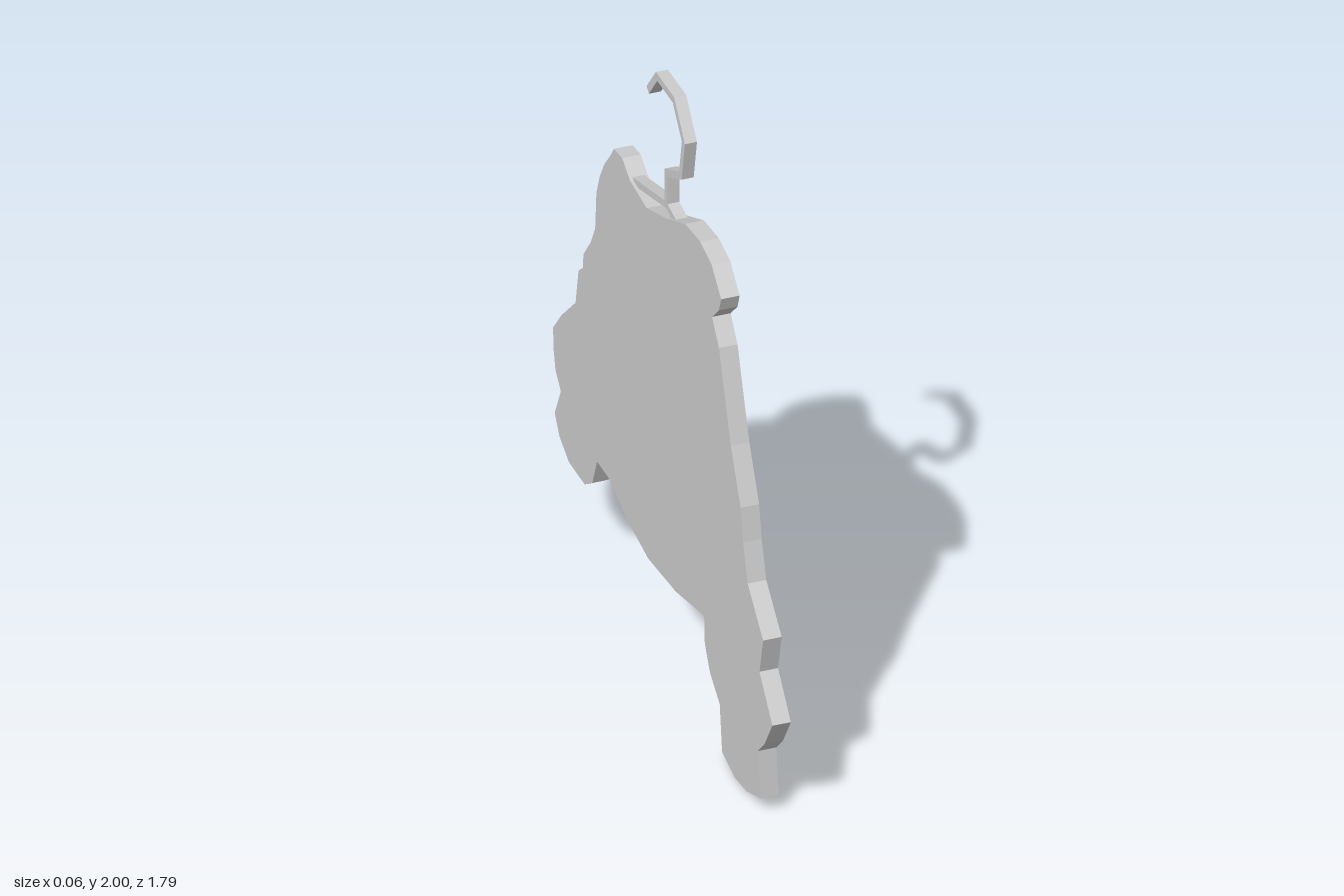
import * as THREE from 'three';

const material = new THREE.MeshStandardMaterial({ color: 0xcccccc, flatShading: true });

// Extrude a (z, y) outline symmetrically across x
function slab(name, points, thickness) {
  const shape = new THREE.Shape(points.map(([z, y]) => new THREE.Vector2(z, y)));
  const geometry = new THREE.ExtrudeGeometry(shape, { depth: thickness, bevelEnabled: false });
  geometry.translate(0, 0, -thickness / 2);
  geometry.rotateY(-Math.PI / 2);
  const mesh = new THREE.Mesh(geometry, material);
  mesh.name = name;
  return mesh;
}

// Turn an open path into a strip outline with mitred corners
function strip(path, width) {
  const pts = path.map(([z, y]) => new THREE.Vector2(z, y));
  const left = [], right = [];
  pts.forEach((p, i) => {
    const a = p.clone().sub(pts[Math.max(i - 1, 0)]).normalize();
    const b = pts[Math.min(i + 1, pts.length - 1)].clone().sub(p).normalize();
    const dir = a.clone().add(b).normalize();
    const ref = i === 0 ? b : a;
    const offset = width / 2 / dir.dot(ref);
    left.push([p.x - dir.y * offset, p.y + dir.x * offset]);
    right.unshift([p.x + dir.y * offset, p.y - dir.x * offset]);
  });
  return [...left, ...right];
}

export function createModel() {
  const group = new THREE.Group();
  group.name = 'garmentOnHanger';

  // Garment silhouette: collar, back sleeve, hem, front sleeve
  const collar = [
    [0.477, 1.557], [0.4, 1.63], [0.307, 1.653], [0.185, 1.642], [0.037, 1.573],
    [-0.13, 1.512], [-0.265, 1.525], [-0.33, 1.565], [-0.397, 1.557], [-0.424, 1.52],
  ];
  const backSleeve = [
    [-0.477, 1.457], [-0.514, 1.393], [-0.54, 1.324], [-0.55, 1.197], [-0.588, 1.128],
    [-0.646, 1.054], [-0.65, 1.006], [-0.686, 0.975], [-0.71, 0.853], [-0.826, 0.742],
    [-0.893, 0.662], [-0.89, 0.593], [-0.874, 0.53], [-0.83, 0.482], [-0.88, 0.38],
    [-0.842, 0.323], [-0.763, 0.28], [-0.635, 0.28], [-0.572, 0.323], [-0.535, 0.416],
  ];
  const hem = [[-0.44, 0.416], [-0.28, 0.36], [-0.117, 0.331], [0.106, 0.35], [0.339, 0.403]];
  const frontSleeve = [
    [0.344, 0.312], [0.387, 0.238], [0.466, 0.177], [0.485, 0.026], [0.588, 0],
    [0.683, 0.01], [0.795, 0.05], [0.776, 0.2], [0.83, 0.254], [0.895, 0.355],
    [0.79, 0.477], [0.82, 0.6], [0.694, 0.72], [0.657, 0.837], [0.636, 0.943],
    [0.556, 1.107], [0.487, 1.303], [0.46, 1.382], [0.403, 1.454], [0.46, 1.51],
  ];
  group.add(slab('garment', [...collar, ...backSleeve, ...hem, ...frontSleeve], 0.057));

  // Hanger: faceted hook and the sloping arms that disappear into the collar
  const hook = [
    [-0.148, 1.9], [-0.076, 1.988], [0.062, 1.988], [0.143, 1.89],
    [0.118, 1.765], [0, 1.705], [0, 1.595],
  ];
  const arms = [[-0.28, 1.517], [0, 1.597], [0.1, 1.578]];
  group.add(slab('hangerHook', strip(hook, 0.024), 0.037));
  group.add(slab('hangerArms', strip(arms, 0.022), 0.036));

  return group;
}
